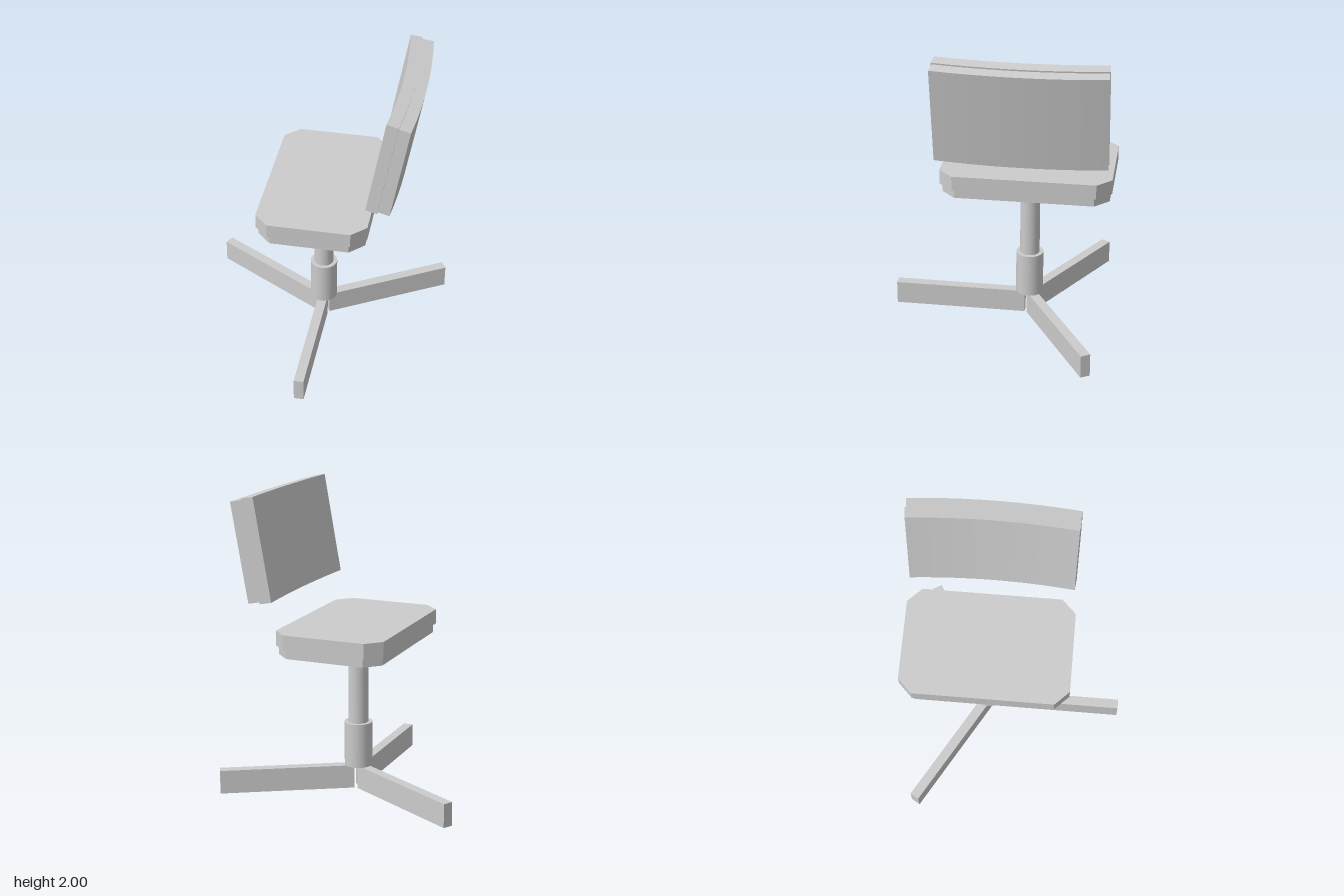
import * as THREE from 'three';

const grey = new THREE.MeshStandardMaterial({ color: 0xcccccc });
const CENTRE_Z = -0.182; // axis of the column, seat and backrest

function addMesh(parent, name, geometry) {
  const mesh = new THREE.Mesh(geometry, grey);
  mesh.name = name;
  parent.add(mesh);
  return mesh;
}

// Upright cylinder between two heights
function post(parent, name, radius, y0, y1) {
  const mesh = addMesh(parent, name, new THREE.CylinderGeometry(radius, radius, y1 - y0, 48));
  mesh.position.y = (y0 + y1) / 2;
}

// Horizontal slab with cut corners
function seatSlab(parent, name, hx, hz, cut, y0, y1) {
  const outline = [
    [hx - cut, -hz], [hx, cut - hz], [hx, hz - cut], [hx - cut, hz],
    [cut - hx, hz], [-hx, hz - cut], [-hx, cut - hz], [cut - hx, -hz],
  ].map(([x, y]) => new THREE.Vector2(x, y));
  const geometry = new THREE.ExtrudeGeometry(new THREE.Shape(outline), { depth: y1 - y0, bevelEnabled: false });
  geometry.rotateX(-Math.PI / 2);
  addMesh(parent, name, geometry).position.y = y0;
}

// Box bent around a vertical axis; u is the depth, v the height
function curvedPanel(parent, name, u0, u1, v0, v1, halfAngle) {
  const radius = 4.9;
  const rim = radius * Math.cos(0.11);
  const geometry = new THREE.BoxGeometry(u1 - u0, v1 - v0, 2, 1, 1, 24);
  geometry.translate((u0 + u1) / 2, (v0 + v1) / 2, 0);
  const p = geometry.attributes.position;
  for (let i = 0; i < p.count; i++) {
    const r = radius + p.getX(i);
    const a = p.getZ(i) * halfAngle;
    p.setX(i, r * Math.cos(a) - rim);
    p.setZ(i, r * Math.sin(a));
  }
  geometry.computeVertexNormals();
  addMesh(parent, name, geometry);
}

export function createModel() {
  const chair = new THREE.Group();
  chair.name = 'chair';
  const body = new THREE.Group();
  body.name = 'body';
  body.position.z = CENTRE_Z;
  chair.add(body);

  // Three base legs spread evenly around the column
  for (let i = 0; i < 3; i++) {
    const geometry = new THREE.BoxGeometry(0.066, 0.157, 0.89);
    geometry.translate(0, 0.0785, 0.03 + 0.445);
    addMesh(body, 'baseLeg', geometry).rotation.y = (i * 2 * Math.PI) / 3;
  }

  // Column
  post(body, 'columnSleeve', 0.092, 0.157, 0.455);
  post(body, 'columnShaft', 0.066, 0.455, 0.87);
  post(body, 'columnCollar', 0.092, 0.87, 0.99);

  // Seat
  seatSlab(body, 'seatPan', 0.353, 0.545, 0.093, 0.99, 1.048);
  seatSlab(body, 'seatCushion', 0.367, 0.56, 0.095, 1.048, 1.145);

  // Tilted backrest
  const backrest = new THREE.Group();
  backrest.name = 'backrest';
  backrest.position.set(0.36, 1.34, 0);
  backrest.rotation.z = -THREE.MathUtils.degToRad(10);
  body.add(backrest);
  curvedPanel(backrest, 'backCushion', 0, 0.078, 0, 0.668, 0.11);
  curvedPanel(backrest, 'backShell', 0.078, 0.156, 0.01, 0.658, 0.1085);

  return chair;
}
